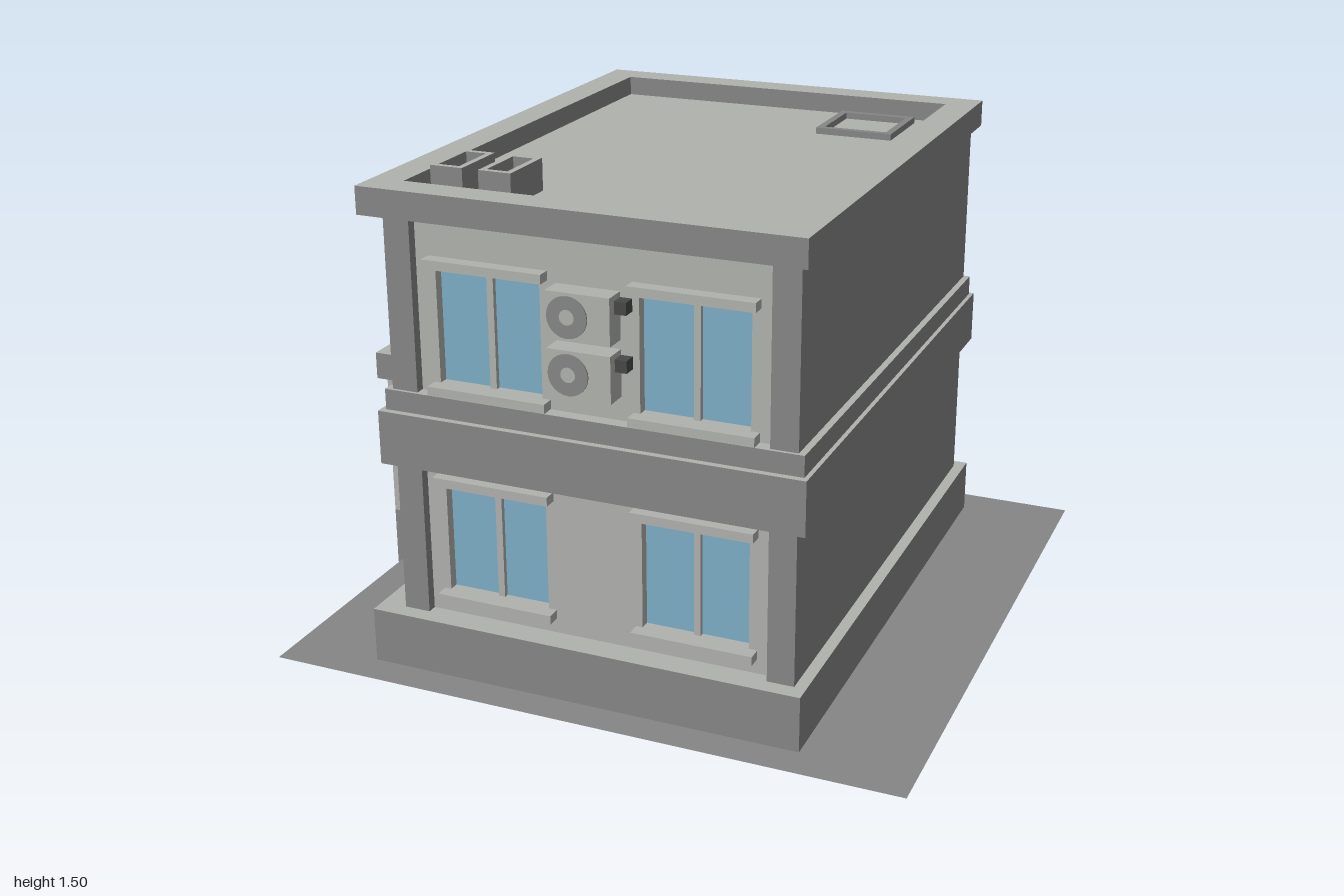
import * as THREE from 'three';

const mat = (name, color) => {
  const m = new THREE.MeshStandardMaterial({ color });
  m.name = name;
  return m;
};

export function createModel() {
  const light = mat('lightConcrete', 0xb0b2ae);
  const grey = mat('greyConcrete', 0x868686);
  const glass = mat('blueGlass', 0x7eaec6);
  const dark = mat('darkMetal', 0x484848);
  const capped = [grey, grey, light, grey, grey, grey]; // pale top face, grey sides
  const model = new THREE.Group();
  model.name = 'building';

  const add = (parent, name, geo, material) => {
    const m = new THREE.Mesh(geo, material);
    m.name = name;
    parent.add(m);
    return m;
  };
  // box given by its limits on each axis
  const box = (parent, name, material, x0, x1, y0, y1, z0, z1) => {
    const m = add(parent, name, new THREE.BoxGeometry(x1 - x0, y1 - y0, z1 - z0), material);
    m.position.set((x0 + x1) / 2, (y0 + y1) / 2, (z0 + z1) / 2);
    return m;
  };
  const rect = (P, x0, x1, y0, y1) => {
    const p = new P();
    p.moveTo(x0, y0);
    p.lineTo(x1, y0);
    p.lineTo(x1, y1);
    p.lineTo(x0, y1);
    p.closePath();
    return p;
  };
  // upright rectangular frame lying flat on the roof
  const flatFrame = (name, materials, x0, x1, z0, z1, t, y0, y1) => {
    const s = rect(THREE.Shape, x0, x1, -z1, -z0);
    s.holes.push(rect(THREE.Path, x0 + t, x1 - t, -z1 + t, -z0 - t));
    const geo = new THREE.ExtrudeGeometry(s, { depth: y1 - y0, bevelEnabled: false });
    geo.rotateX(-Math.PI / 2);
    add(model, name, geo, materials).position.y = y0;
  };

  // wall with recessed openings; local x runs along it and z points outward
  const facade = (name, angle, dist, u0, u1, y0, y1, openings) => {
    const g = new THREE.Group();
    g.name = name;
    g.rotation.y = angle;
    model.add(g);
    const s = rect(THREE.Shape, u0, u1, y0, y1);
    for (const o of openings) s.holes.push(rect(THREE.Path, o.a, o.b, o.lo, o.hi));
    const wall = add(g, 'wall', new THREE.ExtrudeGeometry(s, { depth: 0.04, bevelEnabled: false }), light);
    wall.position.z = dist - 0.04;
    for (const { a, b, lo, hi, panes, door } of openings) {
      box(g, door ? 'doorGlass' : 'windowGlass', glass, a, b, lo, hi, dist - 0.038, dist - 0.03);
      for (let i = 1; i < panes; i++) {
        const u = a + (b - a) * i / panes;
        box(g, 'mullion', light, u - 0.01, u + 0.01, lo, hi, dist - 0.035, dist - 0.015);
      }
      if (door) {
        box(g, 'doorHandle', dark, b - 0.035, b - 0.02, 0.24, 0.36, dist - 0.03, dist - 0.01);
        continue;
      }
      box(g, 'windowHood', light, a - 0.02, b + 0.025, hi, hi + 0.027, dist - 0.01, dist + 0.042);
      box(g, 'windowSill', light, a - 0.02, b + 0.025, lo - 0.027, lo, dist - 0.01, dist + 0.042);
    }
  };

  // ground sheet
  const ground = add(model, 'ground', new THREE.PlaneGeometry(1.95, 1.94), mat('ground', 0x868686));
  ground.material.side = THREE.DoubleSide;
  ground.rotation.x = -Math.PI / 2;
  ground.position.set(0.025, 0.015, 0);

  // plinth, interrupted at the entrance
  box(model, 'plinth', capped, -0.53, 0.665, 0.016, 0.185, -0.86, 0.87);
  box(model, 'plinthBack', capped, -0.67, -0.53, 0.016, 0.185, -0.86, -0.13);
  box(model, 'plinthFront', capped, -0.67, -0.53, 0.016, 0.185, 0.13, 0.87);
  box(model, 'doorStep', capped, -0.64, -0.53, 0.016, 0.035, -0.13, 0.13);

  // blank side wall and corner columns
  box(model, 'blankWall', grey, 0.55, 0.63, 0.185, 1.395, -0.82, 0.82);
  for (const s of [-1, 1]) {
    box(model, 'cornerColumn', grey, -0.59, -0.51, 0.185, 1.395, s * 0.78 - 0.04, s * 0.78 + 0.04);
  }

  // window walls on both floors
  const floors = [
    { y0: 0.18, y1: 0.66, lo: 0.257, hi: 0.6 },
    { y0: 0.87, y1: 1.4, lo: 0.905, hi: 1.25 },
  ];
  floors.forEach(({ y0, y1, lo, hi }, i) => {
    const win = (a, b, panes) => ({ a, b, lo, hi, panes });
    facade('frontWall', 0, 0.79, -0.52, 0.56, y0, y1, [win(-0.45, -0.13, 2), win(0.165, 0.485, 2)]);
    facade('backWall', Math.PI, 0.79, -0.56, 0.52, y0, y1, [win(-0.485, -0.165, 2), win(0.13, 0.45, 2)]);
    facade('entranceWall', -Math.PI / 2, 0.56, -0.76, 0.76, i ? y0 : 0.016, y1, i
      ? [-0.53, 0, 0.53].map((c) => win(c - 0.14, c + 0.14, 2))
      : [win(-0.66, -0.28, 3), win(0.28, 0.66, 3),
        { a: -0.12, b: 0.12, lo: 0.035, hi: 0.6, panes: 1, door: true }]);
  });

  // floor bands
  box(model, 'floorBand', capped, -0.625, 0.663, 0.653, 0.815, -0.84, 0.85);
  box(model, 'upperBand', capped, -0.61, 0.65, 0.815, 0.877, -0.825, 0.83);

  // roof slab and parapet
  box(model, 'roofSlab', capped, -0.655, 0.655, 1.388, 1.41, -0.85, 0.85);
  flatFrame('parapet', [light, grey], -0.655, 0.655, -0.85, 0.85, 0.097, 1.41, 1.47);

  // roof hatch
  flatFrame('hatchFrame', grey, 0.225, 0.47, -0.705, -0.445, 0.022, 1.41, 1.43);

  // open roof vents with a rounded slot inside
  for (const x of [-0.46, -0.31]) {
    flatFrame('roofVent', [light, grey], x - 0.05, x + 0.05, 0.5, 0.69, 0.018, 1.41, 1.505);
    const slot = add(model, 'ventSlot', new THREE.CapsuleGeometry(0.026, 0.08, 4, 12), grey);
    slot.rotation.x = Math.PI / 2;
    slot.scale.z = 0.15;
    slot.position.set(x, 1.413, 0.595);
  }

  // porch
  box(model, 'porchRoof', capped, -1, -0.6, 0.653, 0.74, -0.27, 0.262);
  for (const z of [-0.21, 0.21]) {
    box(model, 'porchPost', light, -0.97, -0.89, 0.19, 0.655, z - 0.04, z + 0.04);
    box(model, 'postBase', grey, -0.97, -0.89, 0, 0.19, z - 0.04, z + 0.04);
  }

  // panel above the middle upper window
  box(model, 'wallPanel', dark, -0.62, -0.56, 1.285, 1.39, -0.28, 0.28);

  // air conditioners on the front
  for (const y of [1.178, 1.015]) {
    const g = new THREE.Group();
    g.name = 'airConditioner';
    g.position.y = y;
    model.add(g);
    box(g, 'casing', light, -0.08, 0.11, -0.068, 0.068, 0.785, 0.858);
    box(g, 'pipeBox', dark, 0.11, 0.145, 0.016, 0.052, 0.785, 0.83);
    const fan = add(g, 'fan', new THREE.RingGeometry(0.022, 0.06, 24), grey);
    fan.position.set(-0.015, 0, 0.862);
    const rim = add(g, 'fanRim', new THREE.CylinderGeometry(0.06, 0.06, 0.006, 24, 1, true), grey);
    rim.rotation.x = Math.PI / 2;
    rim.position.set(-0.015, 0, 0.859);
    const hub = add(g, 'fanHub', new THREE.CircleGeometry(0.022, 20), light);
    hub.position.set(-0.015, 0, 0.862);
  }
  return model;
}
